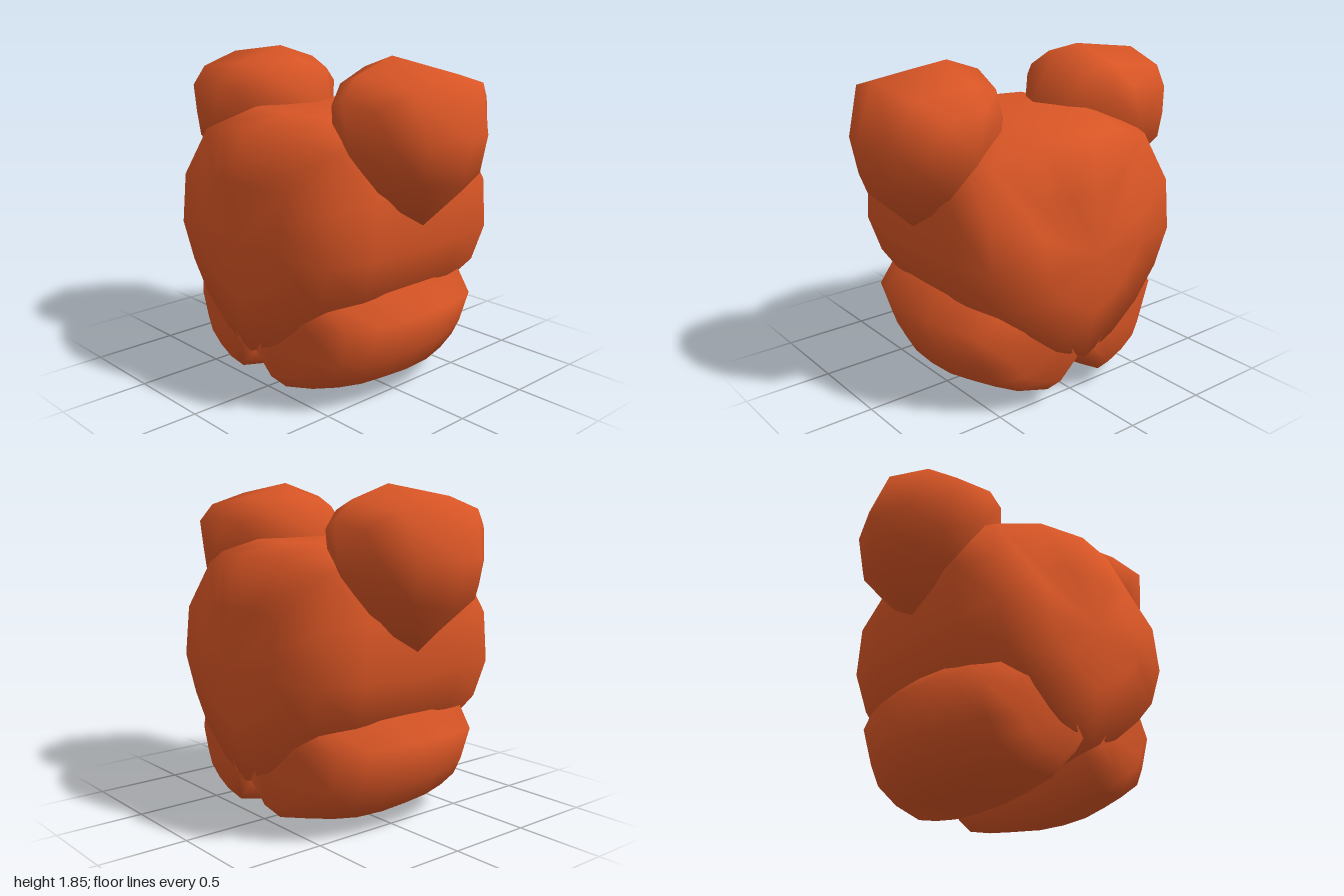
import * as THREE from 'three';
import { mergeVertices } from 'three/addons/utils/BufferGeometryUtils.js';

// Lofts a section along x, scaled about its centre at each [x, scale] ring.
// Section points are [z, y, w], where w below 1 draws the point in towards x = 0.
// The rings cover +x and are mirrored for -x.
function loft(section, [cz, cy], half) {
  const rings = [...half.slice(1).reverse().map(([x, s]) => [-x, s]), ...half];
  const n = section.length;
  const positions = [];
  const index = [];
  for (const [x, s] of rings) {
    for (const [z, y, w = 1] of section) {
      positions.push(x * (1 - (1 - w) * s), cy + (y - cy) * s, cz + (z - cz) * s);
    }
  }
  for (let i = 0; i < rings.length - 1; i++) {
    for (let j = 0; j < n; j++) {
      const a = i * n + j, b = i * n + (j + 1) % n, c = b + n, d = a + n;
      if (rings[i][1] > 0) index.push(a, b, c);
      if (rings[i + 1][1] > 0) index.push(a, c, d);
    }
  }
  let geometry = new THREE.BufferGeometry();
  geometry.setAttribute('position', new THREE.Float32BufferAttribute(positions, 3));
  geometry.setIndex(index);
  geometry = mergeVertices(geometry);
  geometry.computeVertexNormals();
  return geometry;
}

export function createModel() {
  const model = new THREE.Group();
  model.name = 'roundedFigure';
  const orange = new THREE.MeshStandardMaterial({ color: 0xd85525 });
  orange.name = 'orange';

  function add(name, geometry, turned = false) {
    const mesh = new THREE.Mesh(geometry, orange);
    mesh.name = name;
    if (turned) mesh.rotation.y = Math.PI;
    model.add(mesh);
  }

  // Body: flat top, tapering to a rounded keel, with bulging sides
  const profile = [[0.3, 1.55, 0.9], [0.59, 1.46, 0.76], [0.69, 1.17, 0.93],
    [0.69, 0.86, 0.98], [0.61, 0.62, 0.95], [0.42, 0.44], [0.22, 0.28]];
  const bodySection = [[0, 1.55], ...profile, [0, 0.18],
    ...profile.map(([z, y, w]) => [-z, y, w]).reverse()];
  add('body', loft(bodySection, [0, 0.88],
    [[0, 1], [0.35, 0.98], [0.62, 0.9], [0.69, 0.48], [0.71, 0]]));

  // Upper lobes, front and back: widest towards the outer top
  const lobe = loft(
    [[0.45, 1.85], [0.89, 1.79, 1.03], [1.0, 1.48, 0.77], [0.95, 1.23, 0.75], [0.69, 0.99, 0.52],
      [0.4, 1.02, 0.52], [0.17, 1.25, 0.52], [0.13, 1.55, 0.55], [0.25, 1.78, 0.85]],
    [0.57, 1.43], [[0, 1], [0.27, 0.81], [0.41, 0.55], [0.43, 0]]);
  add('frontLobe', lobe);
  add('backLobe', lobe, true);

  // Wide rounded feet, front and back: the ends curl in beneath the body
  const foot = loft(
    [[0.45, 0.8, 1.04], [0.75, 0.52, 0.86], [0.67, 0.28, 0.86], [0.6, 0.15, 0.87],
      [0.43, 0.05, 0.9], [0.2, 0, 0.97], [0, 0.21], [0.2, 0.5]],
    [0.15, 0.36], [[0, 1], [0.2, 0.98], [0.37, 0.91], [0.54, 0.8], [0.63, 0.56], [0.61, 0]]);
  add('frontFoot', foot);
  add('backFoot', foot, true);

  return model;
}
